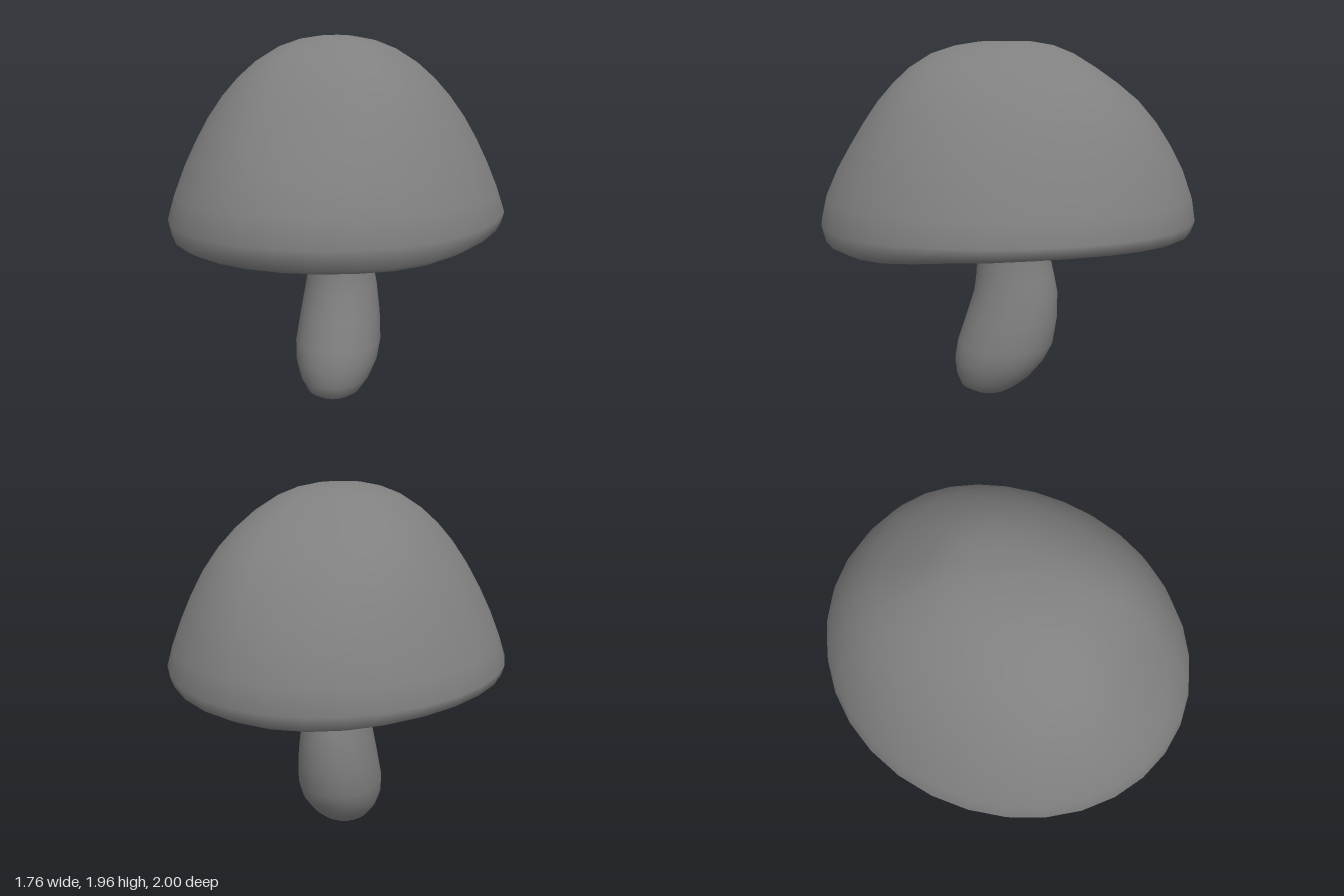
import * as THREE from 'three';

const SIDES = 32;
const { smoothstep } = THREE.MathUtils;

// Height change of the rim: a broad dip in front, a slight rise then dip at the back
function rimWave(c) {
  return c > 0 ? -0.073 * smoothstep(c, 0, 0.85) : -0.063 * c - 0.083 * c * c;
}

// Skins a stack of egg-shaped rings, listed from top to bottom.
// Ring: [y, half width in x, front z, back z, rim wave amount, centre z]
function loft(rings, name) {
  const positions = [], indices = [];
  rings.forEach(([y, rx, front, back, wave = 0, mid = 0]) => {
    // rings get fuller along the sides towards the crown
    const power = 1 - 0.28 * smoothstep(y, 1.15, 1.85);
    for (let j = 0; j < SIDES; j++) {
      const a = (j / SIDES) * Math.PI * 2;
      const c = Math.cos(a), s = Math.sin(a);
      const x = rx * Math.sign(s) * Math.abs(s) ** power;
      const z = mid + (c > 0 ? (front - mid) * c : (mid - back) * c);
      positions.push(x, y + wave * rimWave(c), z);
    }
  });
  for (let i = 0; i < rings.length - 1; i++) {
    for (let j = 0; j < SIDES; j++) {
      const k = (j + 1) % SIDES;
      const a = i * SIDES + j, b = i * SIDES + k;
      indices.push(a, a + SIDES, b, b, a + SIDES, b + SIDES);
    }
  }
  const geometry = new THREE.BufferGeometry();
  geometry.setAttribute('position', new THREE.Float32BufferAttribute(positions, 3));
  geometry.setIndex(indices);
  geometry.computeVertexNormals();
  const material = new THREE.MeshStandardMaterial({ color: 0x808080, side: THREE.DoubleSide });
  const mesh = new THREE.Mesh(geometry, material);
  mesh.name = name;
  return mesh;
}

export function createModel() {
  const group = new THREE.Group();
  group.name = 'mushroom';

  // Cap: dome, rolled rim, hollow underside
  group.add(loft([
    [1.955, 0, 0, 0],
    [1.95, 0.1, 0.15, -0.14],
    [1.93, 0.2, 0.27, -0.25],
    [1.89, 0.3, 0.39, -0.35],
    [1.82, 0.41, 0.5, -0.465],
    [1.74, 0.5, 0.585, -0.58],
    [1.65, 0.58, 0.665, -0.69],
    [1.54, 0.66, 0.745, -0.785],
    [1.42, 0.73, 0.825, -0.865],
    [1.3, 0.79, 0.9, -0.93],
    [1.17, 0.845, 0.97, -0.98, 0.2],
    [1.06, 0.882, 1, -1, 0.4],
    [1.005, 0.868, 0.98, -0.98, 0.85],
    [0.985, 0.82, 0.92, -0.94, 1],
    [0.985, 0.76, 0.83, -0.87, 1],
    [1.02, 0.66, 0.72, -0.76, 0.7],
    [1.07, 0.53, 0.57, -0.6, 0.4],
    [1.105, 0.43, 0.44, -0.49, 0.15, -0.01],
    [1.115, 0.37, 0.36, -0.42, 0, -0.03],
    [1.115, 0.33, 0.32, -0.38, 0, -0.03],
  ], 'cap'));

  // Stem: flares into the cap, leans forward to a rounded foot
  group.add(loft([
    [1.115, 0.33, 0.32, -0.38, 0, -0.03],
    [1.114, 0.3, 0.29, -0.35, 0, -0.03],
    [1.095, 0.25, 0.255, -0.31, 0, -0.03],
    [1.04, 0.205, 0.225, -0.265, 0, -0.03],
    [0.96, 0.178, 0.195, -0.24, 0, -0.03],
    [0.9, 0.17, 0.178, -0.237, 0, -0.03],
    [0.8, 0.17, 0.165, -0.243, 0, -0.04],
    [0.7, 0.182, 0.17, -0.265, 0, -0.05],
    [0.6, 0.2, 0.183, -0.285, 0, -0.05],
    [0.45, 0.222, 0.23, -0.285, 0, -0.03],
    [0.3, 0.236, 0.28, -0.263, 0, 0.01],
    [0.2, 0.225, 0.297, -0.213, 0, 0.04],
    [0.11, 0.19, 0.288, -0.14, 0, 0.08],
    [0.045, 0.145, 0.265, -0.06, 0, 0.1],
    [0.014, 0.1, 0.21, -0.01, 0, 0.1],
    [0, 0.06, 0.14, 0.03, 0, 0.08],
    [0, 0, 0.08, 0.08, 0, 0.08],
  ], 'stem'));

  return group;
}
